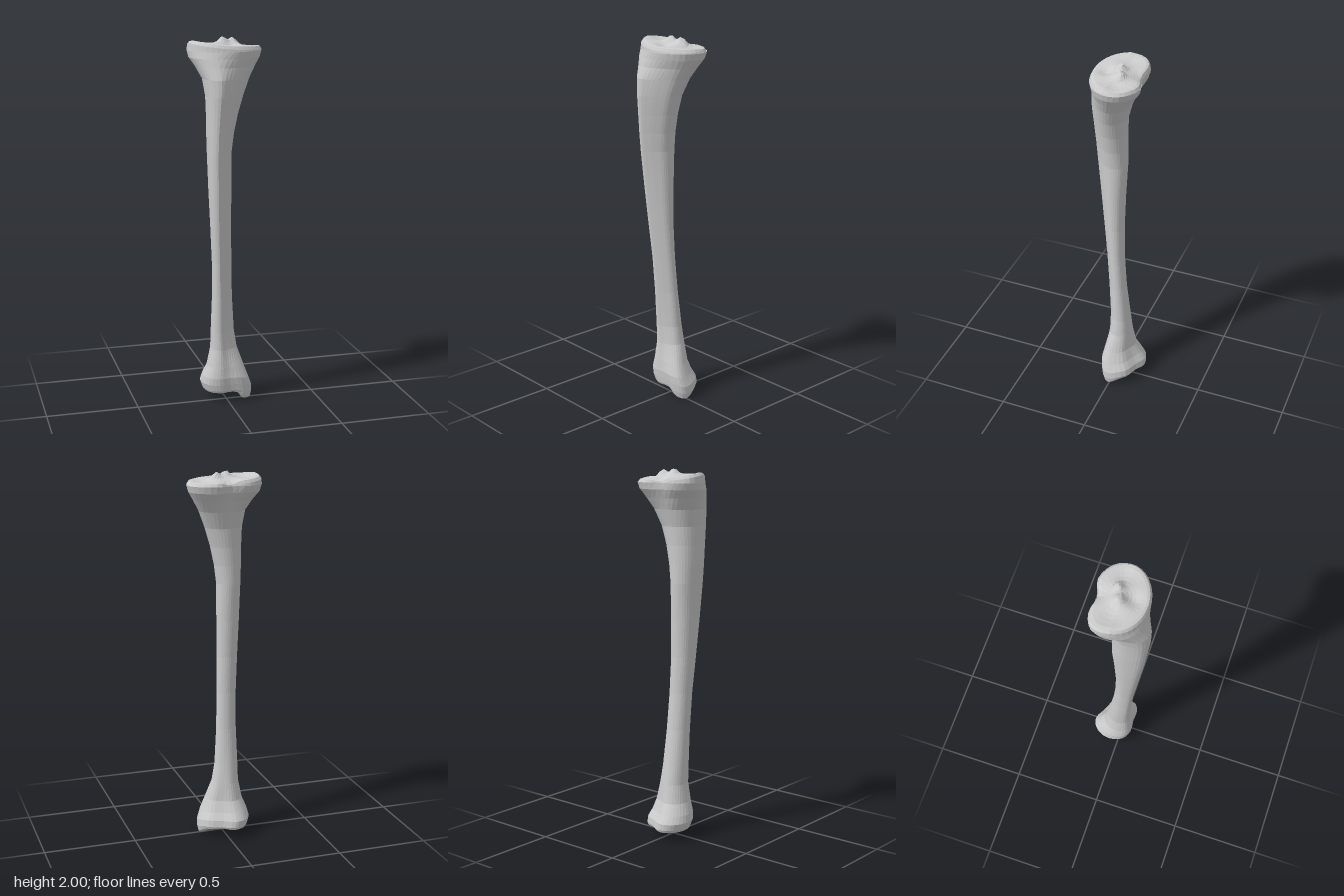
import * as THREE from 'three';

const SIDES = 36;

// Unit cross-sections [across, front], running medial -> front -> lateral -> back
const plateau = [[1, -0.1], [0.87, 0.45], [0.48, 0.86], [0.05, 1], [-0.4, 0.92], [-0.78, 0.6],
  [-1, 0.05], [-0.95, -0.62], [-0.58, -0.89], [-0.1, -0.82], [0.38, -1], [0.83, -0.68]];
const shaft = [[1, -0.25], [0.85, 0.15], [0.45, 0.5], [0, 0.8], [-0.45, 1], [-0.85, 0.75],
  [-1, 0.2], [-0.95, -0.3], [-0.65, -0.75], [-0.1, -1], [0.45, -0.95], [0.88, -0.65]];
const ankle = [[1, 0.3], [0.92, 0.75], [0.55, 0.97], [0.05, 0.95], [-0.4, 1], [-0.8, 0.75],
  [-1, 0.1], [-0.9, -0.5], [-0.6, -0.9], [-0.25, -1], [0.2, -0.72], [0.75, -0.4]];

// Stations: y, x min, x max, z min, z max, plateau share, ankle share
const stations = [
  [0.065, -0.125, 0.142, -0.162, 0.06, 0, 1],
  [0.1, -0.136, 0.14, -0.16, 0.066, 0, 1],
  [0.14, -0.128, 0.122, -0.135, 0.07, 0, 1],
  [0.2, -0.105, 0.095, -0.103, 0.066, 0, 0.8],
  [0.3, -0.086, 0.062, -0.085, 0.056, 0, 0.4],
  [0.4, -0.085, 0.046, -0.07, 0.056, 0, 0.2],
  [0.6, -0.082, 0.032, -0.045, 0.066, 0, 0],
  [0.8, -0.086, 0.025, -0.03, 0.08, 0, 0],
  [1.0, -0.097, 0.02, -0.025, 0.1, 0, 0],
  [1.2, -0.108, 0.02, -0.03, 0.12, 0, 0],
  [1.4, -0.116, 0.02, -0.04, 0.14, 0, 0],
  [1.5, -0.12, 0.032, -0.04, 0.148, 0, 0],
  [1.6, -0.122, 0.053, -0.042, 0.156, 0, 0],
  [1.7, -0.126, 0.083, -0.05, 0.164, 0, 0],
  [1.79, -0.138, 0.12, -0.078, 0.164, 0.1, 0],
  [1.85, -0.165, 0.155, -0.11, 0.147, 0.45, 0],
  [1.895, -0.19, 0.183, -0.14, 0.138, 0.8, 0],
  [1.93, -0.195, 0.193, -0.148, 0.132, 1, 0],
];

const smoothOutline = (pts) => new THREE.CatmullRomCurve3(
  pts.map(([u, v]) => new THREE.Vector3(u, 0, v)), true);
const curves = [plateau, shaft, ankle].map(smoothOutline);

const bump = (x, z, cx, cz, r) => Math.exp(-((x - cx) ** 2 + (z - cz) ** 2) / (r * r));

// Inner ankle knob: 1 over the knob, 0 elsewhere
const knob = (x, z) =>
  THREE.MathUtils.smoothstep(x, 0.045, 0.09) * Math.exp(-(((z - 0.01) / 0.06) ** 2));

// Knee surface: two shallow dishes with a pair of spines between them
function topHeight(x, z) {
  const tilt = 1.975 - 0.08 * x + 0.15 * Math.min(z, 0) - 0.1 * Math.max(z, 0);
  const dishes = 0.016 * (bump(x, z, 0.115, -0.02, 0.06) + bump(x, z, -0.11, -0.02, 0.06));
  const spines = 0.03 * bump(x, z, -0.015, -0.015, 0.025) + 0.035 * bump(x, z, 0.045, -0.035, 0.025);
  const notch = 0.02 * (bump(x, z, -0.01, -0.12, 0.04) + bump(x, z, 0.01, 0.05, 0.04));
  return Math.min(2, tilt - dishes + spines - notch);
}

// Ankle surface: shallow arch with the knob hanging below
const bottomHeight = (x, z) =>
  0.045 + 0.025 * bump(x, z, 0, -0.05, 0.07) - 0.048 * knob(x, z);

// One ring of points at a station, shrunk by `scale`, with heights from a rule
function makeRing([y, x0, x1, z0, z1, wTop, wAnkle], scale, height) {
  const ring = [];
  const weights = [wTop, 1 - wTop - wAnkle, wAnkle];
  for (let j = 0; j < SIDES; j++) {
    const p = new THREE.Vector3();
    curves.forEach((c, k) => p.addScaledVector(c.getPoint(j / SIDES), weights[k]));
    const x = (x0 + x1) / 2 + p.x * scale * (x1 - x0) / 2;
    const z = (z0 + z1) / 2 + p.z * scale * (z1 - z0) / 2;
    ring.push([x, height(x, z, y), z]);
  }
  return ring;
}

function loft(rings) {
  const index = [];
  for (let i = 0; i < rings.length - 1; i++) {
    for (let j = 0; j < SIDES; j++) {
      const k = (j + 1) % SIDES;
      const a = i * SIDES + j, b = i * SIDES + k;
      const c = a + SIDES, d = b + SIDES;
      if (i < rings.length - 2) index.push(a, c, b);
      else index.push(a, c, b);
      if (i > 0 && i < rings.length - 2) index.push(b, c, d);
      else if (i === 0) index.push(b, c, d);
    }
  }
  const geo = new THREE.BufferGeometry();
  geo.setAttribute('position', new THREE.Float32BufferAttribute(rings.flat(2), 3));
  geo.setIndex(index);
  geo.computeVertexNormals();
  return geo;
}

export function createModel() {
  const group = new THREE.Group();
  group.name = 'shinBone';
  const first = stations[0], last = stations[stations.length - 1];
  const rings = [];

  // Ankle joint surface, from its middle outwards
  for (const s of [0, 0.25, 0.45, 0.62, 0.76, 0.87, 0.95]) {
    rings.push(makeRing(first, s, (x, z) => bottomHeight(x, z) + (s > 0.9 ? 0.006 : 0)));
  }
  // Shaft; the lowest stations sag a little towards the knob
  for (const st of stations) {
    rings.push(makeRing(st, 1, (x, z, y) =>
      y - 0.03 * knob(x, z) * THREE.MathUtils.clamp((0.2 - y) / 0.13, 0, 1)));
  }
  // Knee rim and joint surface, from the edge to the middle
  for (const s of [0.985, 0.93, 0.84, 0.72, 0.6, 0.48, 0.36, 0.24, 0.12, 0]) {
    const drop = s > 0.95 ? 0.018 : s > 0.9 ? 0.003 : 0;
    rings.push(makeRing(last, s, (x, z) => topHeight(x, z) - drop));
  }

  const bone = new THREE.Mesh(loft(rings),
    new THREE.MeshStandardMaterial({ color: 0xcccccc, flatShading: true }));
  bone.name = 'bone';
  group.add(bone);
  return group;
}
